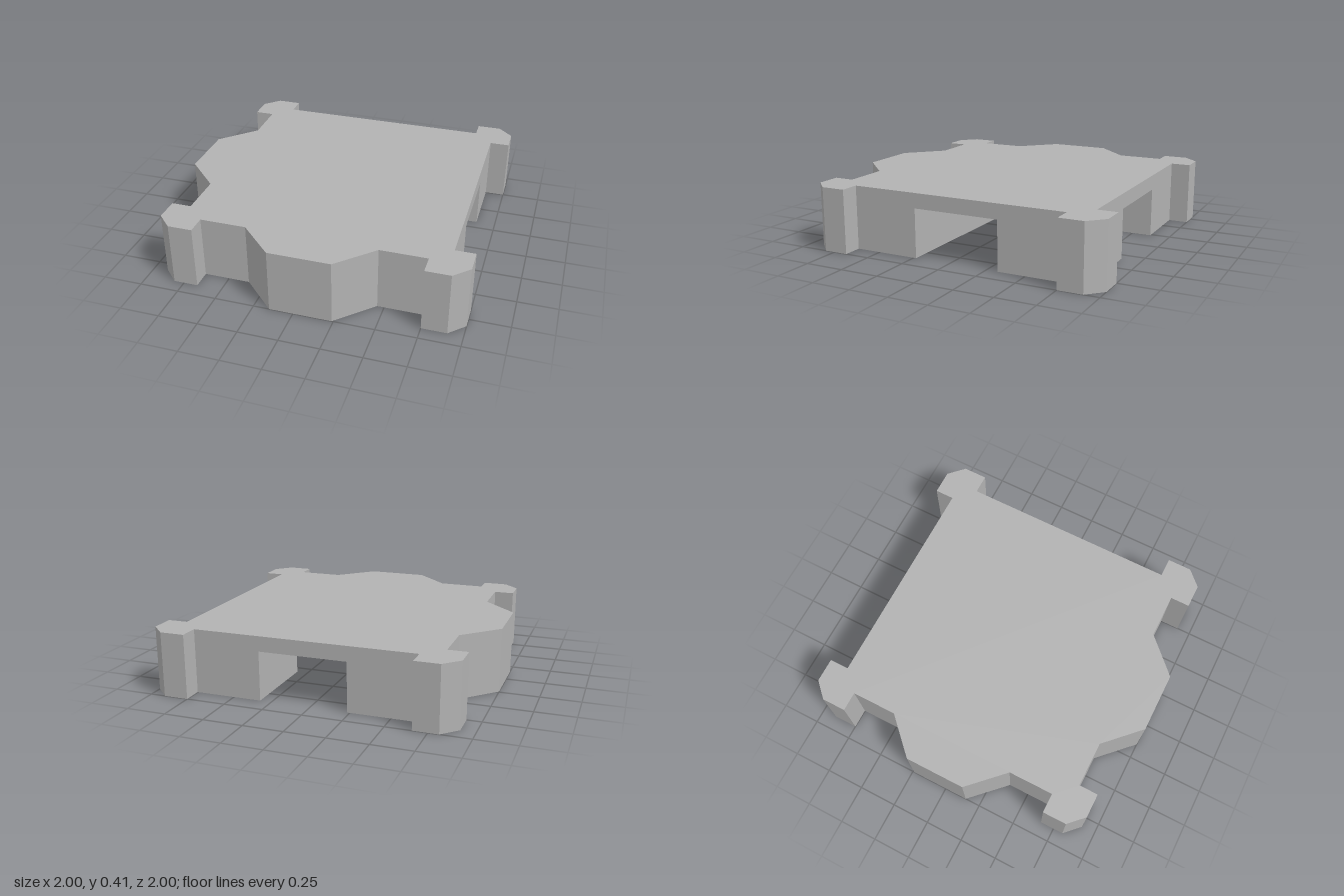
import * as THREE from 'three';

const HEIGHT = 0.405;   // overall height
const CEILING = 0.31;   // height of the passage
const WALL = 0.83;      // wall distance from the plan centre
const LANE = 0.278;     // half width of the passage

// Half of one side: wall, corner pillar and optional bay, for s > 0
const pillarHalf = [[0.705, WALL], [0.705, 0.955], [0.86, 0.955]];
const bayHalf = [[0.195, 1.045], [0.4125, WALL]];

// Plan points of half a side, turned k quarter turns from the front
function halfSide(k, sign, bay) {
  const pts = [...(bay ? bayHalf : []), ...pillarHalf].map(([s, d]) => new THREE.Vector2(sign * s, -d));
  if (sign < 0) pts.reverse();
  const origin = new THREE.Vector2();
  return pts.map((p) => p.rotateAround(origin, k * Math.PI / 2));
}

const fullSide = (k, bay) => [...halfSide(k, -1, bay), ...halfSide(k, 1, bay)];
const v = (x, y) => new THREE.Vector2(x, y);

export function createModel() {
  const group = new THREE.Group();
  const grey = new THREE.MeshStandardMaterial({ color: 0xb2b2b2 });
  grey.name = 'grey';

  function addPrism(name, points, bottom, top) {
    const geo = new THREE.ExtrudeGeometry(new THREE.Shape(points), { depth: top - bottom, bevelEnabled: false });
    geo.rotateX(-Math.PI / 2);
    geo.translate(0.045, bottom, -0.045);
    const mesh = new THREE.Mesh(geo, grey);
    mesh.name = name;
    group.add(mesh);
  }

  // Roof slab over the whole plan: bays at the front and the -x side
  addPrism('roofSlab', [
    ...fullSide(0, true), ...fullSide(1, false), ...fullSide(2, false), ...fullSide(3, true),
  ], CEILING, HEIGHT);

  // Main lower block, outside the bend of the passage
  addPrism('mainBlock', [
    ...fullSide(3, true), ...fullSide(0, true), ...halfSide(1, -1, false),
    v(WALL, -LANE), v(-LANE, -LANE), v(-LANE, WALL), ...halfSide(2, 1, false),
  ], 0, CEILING);

  // Corner block, inside the bend of the passage
  addPrism('cornerBlock', [
    v(WALL, LANE), ...halfSide(1, 1, false), ...halfSide(2, -1, false), v(LANE, WALL), v(LANE, LANE),
  ], 0, CEILING);

  return group;
}
